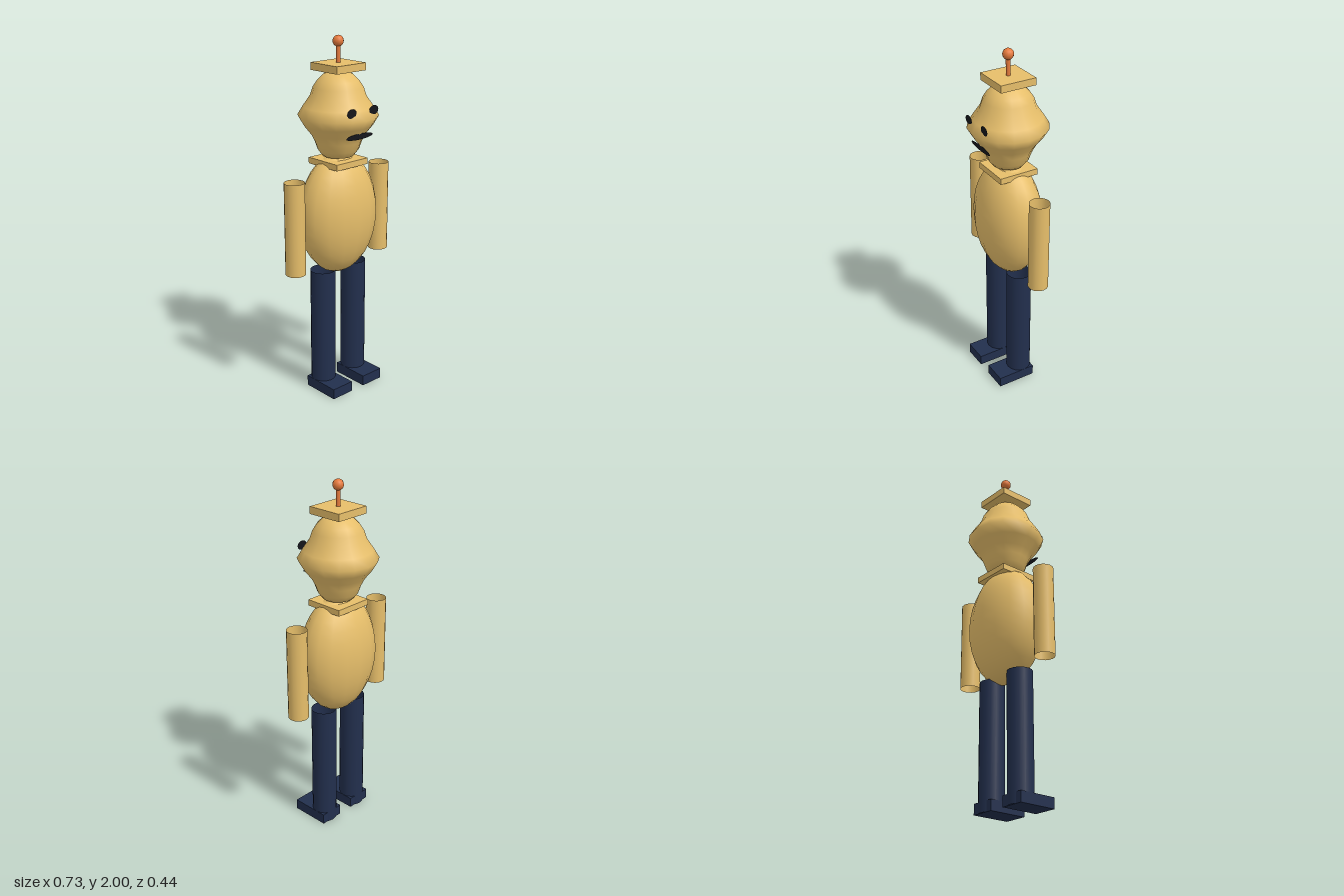
import * as THREE from 'three';

const gold = new THREE.MeshStandardMaterial({ color: 0xe6be6a, side: THREE.DoubleSide });
const navy = new THREE.MeshStandardMaterial({ color: 0x222f4d, side: THREE.DoubleSide });
const orange = new THREE.MeshStandardMaterial({ color: 0xe67a3c });
const black = new THREE.MeshStandardMaterial({ color: 0x14151a, side: THREE.DoubleSide });

export function createModel() {
  const model = new THREE.Group();
  model.name = 'robot';

  const add = (name, geometry, material, x, y, z) => {
    const mesh = new THREE.Mesh(geometry, material);
    mesh.name = name;
    mesh.position.set(x, y, z);
    model.add(mesh);
    return mesh;
  };

  // Egg-shaped body, flattened front to back
  add('body', new THREE.SphereGeometry(1, 16, 16), gold, 0, 1.03, 0).scale.set(0.247, 0.34, 0.171);

  // Square collar that the top of the body pokes through
  add('collar', new THREE.BoxGeometry(0.226, 0.034, 0.226), gold, 0, 1.328, 0);

  // Head: turned profile with a pointed widest ring
  const profile = [
    [0, 1.345], [0.085, 1.36], [0.112, 1.395], [0.128, 1.44], [0.15, 1.482], [0.188, 1.53],
    [0.218, 1.58], [0.188, 1.63], [0.15, 1.685], [0.135, 1.73], [0.112, 1.765], [0.08, 1.797],
    [0.042, 1.812], [0, 1.817],
  ].map(([r, y]) => new THREE.Vector2(r, y));
  add('head', new THREE.LatheGeometry(profile, 16), gold, 0, 0, 0);

  // Flat oval mouth
  add('mouth', new THREE.CircleGeometry(1, 24), black, 0, 1.49, 0.166).scale.set(0.096, 0.016, 1);

  // Hat with antenna
  add('hat', new THREE.BoxGeometry(0.206, 0.04, 0.206), gold, 0, 1.838, 0);
  add('antennaRod', new THREE.CylinderGeometry(0.012, 0.012, 0.11, 12), orange, 0, 1.905, 0);
  add('antennaBall', new THREE.SphereGeometry(0.03, 12, 10), orange, 0, 1.97, 0);

  // Paired parts; arms and legs are open tubes
  for (const [side, s] of [['left', 1], ['right', -1]]) {
    add(side + 'Eye', new THREE.CircleGeometry(1, 16), black, s * 0.079, 1.625, 0.189).scale.set(0.033, 0.025, 1);
    add(side + 'Arm', new THREE.CylinderGeometry(0.056, 0.056, 0.516, 16, 1, true), gold, s * 0.311, 1.008, 0);
    add(side + 'Leg', new THREE.CylinderGeometry(0.07, 0.07, 0.725, 16, 1, true), navy, s * 0.115, 0.3625, 0);
    add(side + 'Foot', new THREE.BoxGeometry(0.14, 0.06, 0.225), navy, s * 0.115, 0.03, 0.0525);
  }
  return model;
}
